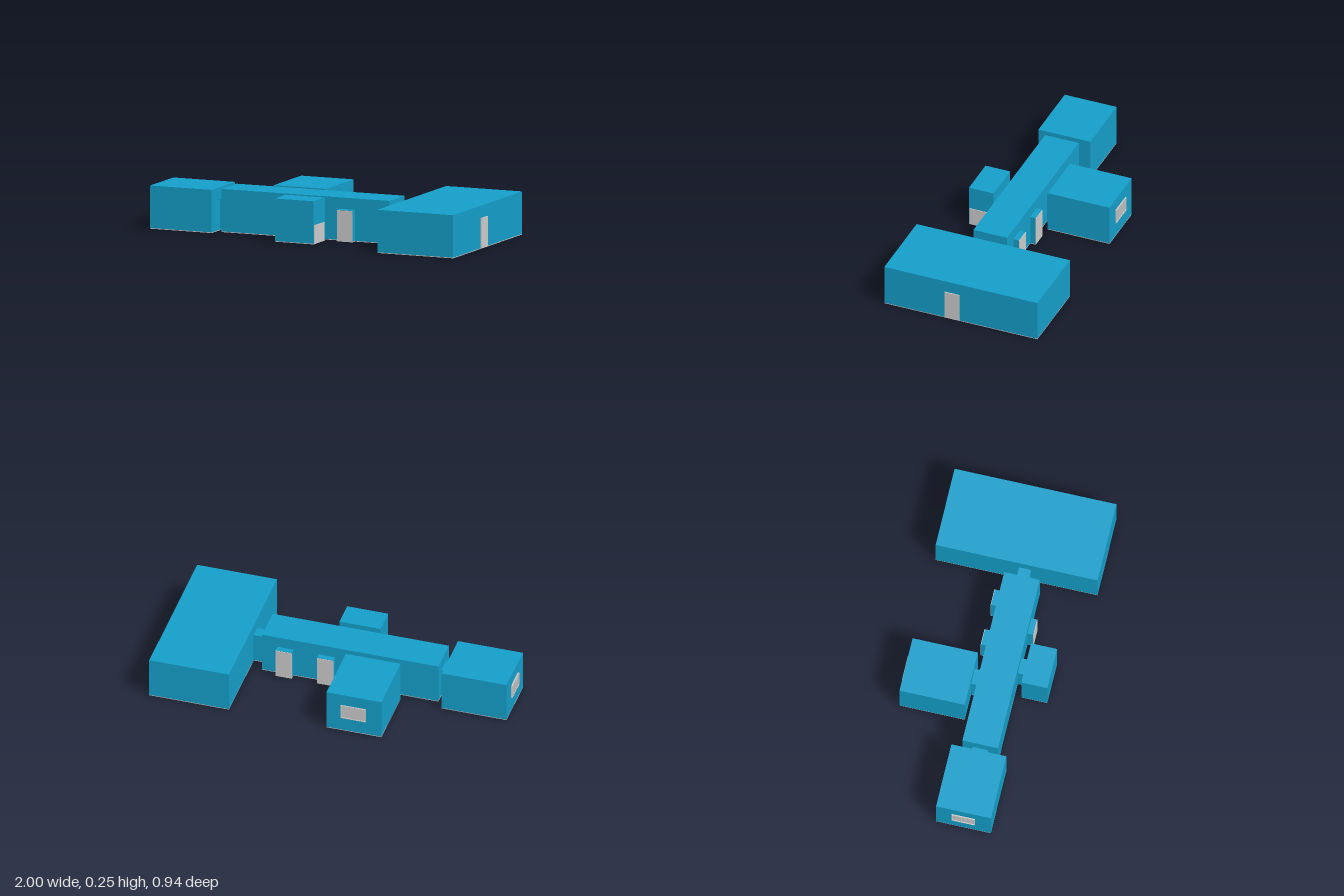
import * as THREE from 'three';

const BLUE = new THREE.MeshStandardMaterial({ color: 0x149ec9, flatShading: true });
const GREY = new THREE.MeshStandardMaterial({ color: 0xcccccc, flatShading: true });

// Box given by its extents on each axis
function block(name, mat, [x0, x1], [y0, y1], [z0, z1]) {
  const mesh = new THREE.Mesh(new THREE.BoxGeometry(x1 - x0, y1 - y0, z1 - z0), mat);
  mesh.position.set((x0 + x1) / 2, (y0 + y1) / 2, (z0 + z1) / 2);
  mesh.name = name;
  return mesh;
}

// Blue volume standing on a thin grey floor slab
function room(name, x, z, top) {
  const g = new THREE.Group();
  g.name = name;
  g.add(block('walls', BLUE, x, [0.004, top], z));
  g.add(block('floor', GREY, x, [0, 0.004], z));
  return g;
}

// Barred window in the xy plane, facing +z
function barredWindow(name, width, height) {
  const g = new THREE.Group();
  g.name = name;
  const w = width / 2, h = height / 2, t = 0.004, panes = 5;
  g.add(block('pane', GREY, [-w, w], [-h, h], [0, 0.002]));
  for (const s of [-1, 1]) {
    g.add(block('rail', GREY, [-w, w], [s * h - t / 2, s * h + t / 2], [0, 0.007]));
  }
  for (let i = 0; i <= panes; i++) {
    const x = -w + (width * i) / panes;
    g.add(block('bar', GREY, [x - t / 2, x + t / 2], [-h, h], [0, 0.007]));
  }
  return g;
}

export function createModel() {
  const model = new THREE.Group();
  const H = 0.245, LOW = 0.178;

  // Main rooms
  model.add(
    room('corridor', [-0.577, 0.455], [-0.055, 0.15], H),
    room('rightHall', [-0.993, -0.613], [-0.11, 0.206], H),
    room('leftHall', [0.525, 0.992], [-0.466, 0.466], H),
    room('backRoom', [-0.367, -0.046], [-0.466, -0.09], H),
    room('frontRoom', [-0.165, 0.075], [0.188, 0.338], H)
  );

  // Low passages joining the rooms to the corridor
  model.add(
    room('rightPassage', [-0.613, -0.577], [0.003, 0.093], LOW),
    room('leftPassage', [0.455, 0.525], [0.014, 0.083], LOW),
    room('backPassage', [-0.212, -0.12], [-0.09, -0.055], LOW),
    room('frontPassage', [-0.092, 0], [0.15, 0.188], LOW)
  );

  // Door porches: one on the front of the corridor, two on the back
  for (const [x, wall, dir] of [[0.197, 0.15, 1], [0.075, -0.055, -1], [0.318, -0.055, -1]]) {
    const span = (a, b) => [wall + dir * a, wall + dir * b].sort((p, q) => p - q);
    model.add(room('porch', [x - 0.047, x + 0.047], span(0, 0.033), LOW + 0.002));
    model.add(block('porchDoor', GREY, [x - 0.047, x + 0.047], [0.004, LOW], span(0.033, 0.036)));
  }

  // Doors on the outer side walls
  model.add(block('hallDoor', GREY, [0.99, 0.998], [0.004, 0.175], [0.008, 0.098]));
  model.add(block('sideHatch', GREY, [0.073, 0.079], [0.004, 0.108], [0.198, 0.334]));

  // Barred windows
  const sideWindow = barredWindow('rightHallWindow', 0.13, 0.083);
  sideWindow.rotation.y = -Math.PI / 2;
  sideWindow.position.set(-0.993, 0.132, 0.047);
  const backWindow = barredWindow('backRoomWindow', 0.145, 0.083);
  backWindow.rotation.y = Math.PI;
  backWindow.position.set(-0.204, 0.132, -0.466);
  model.add(sideWindow, backWindow);

  return model;
}
